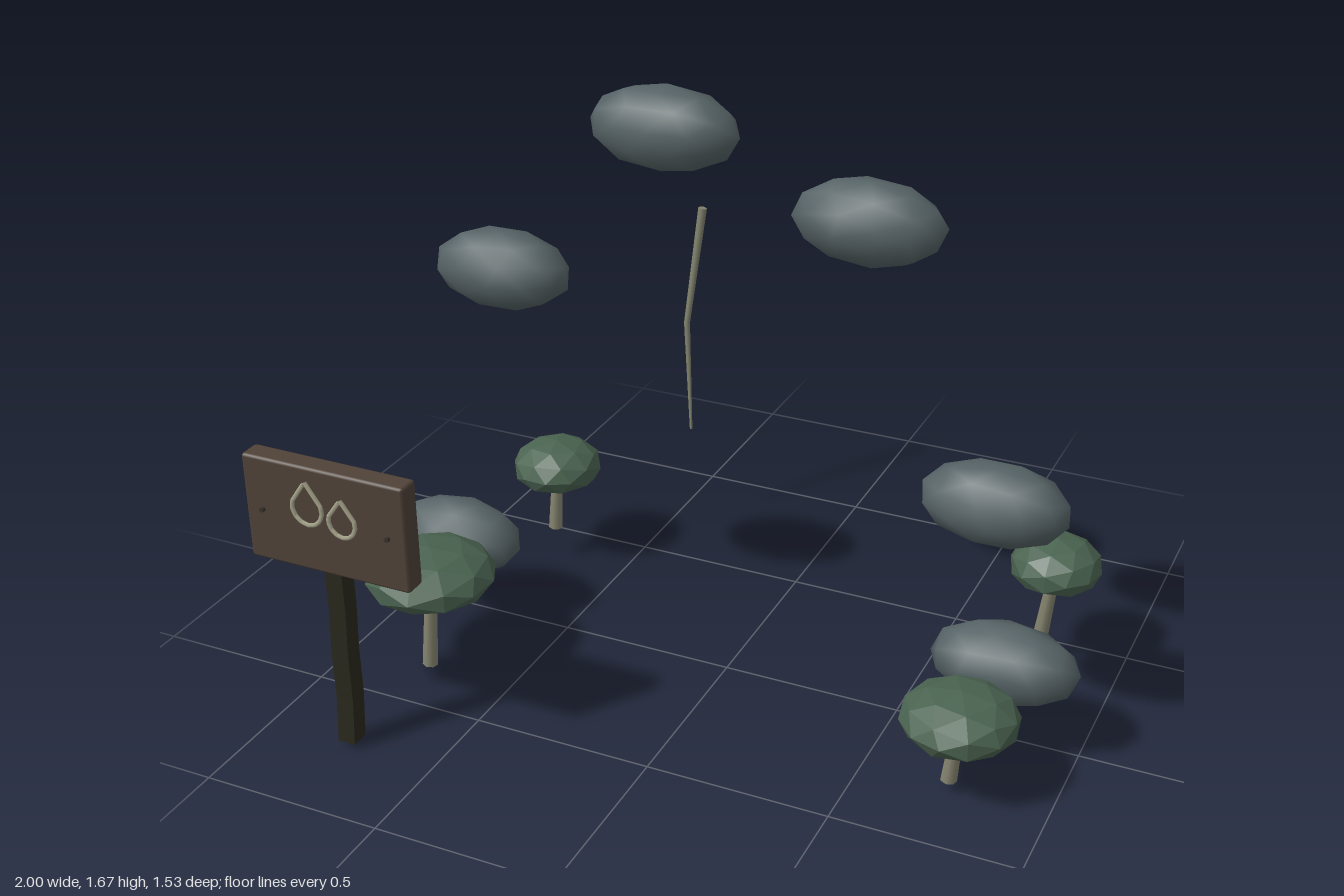
import * as THREE from 'three';
import { RoundedBoxGeometry } from 'three/addons/geometries/RoundedBoxGeometry.js';

const mat = (name, color) => {
  const m = new THREE.MeshStandardMaterial({ color });
  m.name = name;
  return m;
};

export function createModel() {
  const root = new THREE.Group();
  const stone = mat('slate stone', 0x566366);
  const capGreen = mat('cap green', 0x4a6350);
  const gill = mat('gill grey', 0x55554a);
  const stemTan = mat('stem tan', 0x85846f);
  const reed = mat('reed grey', 0x82846f);
  const board = mat('board brown', 0x4f4238);
  const postDark = mat('post dark', 0x29281c);
  const pale = mat('pale symbol', 0xa5a28a);
  const nailDark = mat('nail dark', 0x38302a);

  const add = (parent, name, geo, material, pos = [0, 0, 0]) => {
    const m = new THREE.Mesh(geo, material);
    m.name = name;
    m.position.set(...pos);
    parent.add(m);
    return m;
  };

  // Tapered round piece running between two points
  const limb = (parent, name, a, b, ra, rb, material, sides = 7) => {
    const p = new THREE.Vector3(...a), q = new THREE.Vector3(...b);
    const dir = q.clone().sub(p);
    const m = add(parent, name, new THREE.CylinderGeometry(rb, ra, dir.length(), sides), material);
    m.position.copy(p).add(q).multiplyScalar(0.5);
    m.quaternion.setFromUnitVectors(new THREE.Vector3(0, 1, 0), dir.normalize());
  };

  // Floating stones in an arch: x, y, half length, spin
  const stones = new THREE.Group();
  stones.name = 'stoneArch';
  root.add(stones);
  [
    [-0.81, 0.265, 0.192, 0.25], [-0.622, 1.112, 0.197, 0.3], [-0.145, 1.563, 0.203, 0],
    [0.395, 1.402, 0.197, 0.5], [0.748, 0.717, 0.197, 0.3], [0.8, 0.265, 0.2, 0.1],
  ].forEach(([x, y, half, spin], i) => {
    const geo = new THREE.IcosahedronGeometry(1, 1);
    geo.rotateX(i * 0.7).rotateZ(spin).scale(half, 0.108, 0.112);
    add(stones, 'archStone', geo, stone, [x, y, 0.05]);
  });

  // Faceted cap: squashed ball with a flat underside
  const capGeometry = (r, h, spin) => {
    const geo = new THREE.IcosahedronGeometry(1, 1);
    const p = geo.attributes.position, floor = -0.46;
    for (let i = 0; i < p.count; i++) p.setY(i, Math.max(p.getY(i), floor));
    for (let i = 0; i < p.count; i += 3) {
      const under = [0, 1, 2].every(k => p.getY(i + k) < floor + 0.001);
      geo.addGroup(i, 3, under ? 1 : 0);
    }
    geo.rotateY(spin).scale(r, h, r);
    geo.computeVertexNormals();
    return geo;
  };

  // Mushrooms: cap centre, cap radius, stem foot, stem radius
  [
    { cap: [-0.74, 0.296, 0.315], r: 0.18, foot: [-0.76, 0.003, 0.32], s: 0.022 },
    { cap: [0.757, 0.226, 0.275], r: 0.154, foot: [0.738, 0.037, 0.28], s: 0.022 },
    { cap: [-0.71, 0.315, -0.35], r: 0.132, foot: [-0.72, 0.105, -0.342], s: 0.021 },
    { cap: [0.805, 0.315, -0.395], r: 0.127, foot: [0.775, 0.067, -0.392], s: 0.022 },
  ].forEach(({ cap, r, foot, s }, i) => {
    const g = new THREE.Group();
    g.name = 'mushroom';
    root.add(g);
    add(g, 'mushroomCap', capGeometry(r, 0.082, i * 0.8 + 0.2), [capGreen, gill], cap);
    limb(g, 'mushroomStem', foot, cap, s, s * 0.72, stemTan);
  });

  // Signpost
  const sign = new THREE.Group();
  sign.name = 'signpost';
  root.add(sign);
  add(sign, 'signBoard', new RoundedBoxGeometry(0.467, 0.292, 0.062, 1, 0.008), board, [-0.748, 0.675, 0.719]);

  // Slightly crooked post
  let post = new THREE.BoxGeometry(0.05, 0.54, 0.05, 1, 4, 1).toNonIndexed();
  const pp = post.attributes.position;
  for (let i = 0; i < pp.count; i++) {
    const t = pp.getY(i) / 0.54 + 0.5;
    pp.setX(i, pp.getX(i) + 0.008 * t + 0.003 * Math.sin(t * 9));
    pp.setZ(i, pp.getZ(i) - 0.006 * Math.sin(t * Math.PI));
  }
  post.computeVertexNormals();
  add(sign, 'signPole', post, postDark, [-0.752, 0.285, 0.719]);

  // Raised teardrop outlines
  [[-0.792, 0.708, 0.044, 0.075], [-0.692, 0.69, 0.039, 0.064]].forEach(([x, y, w, tip]) => {
    const pts = [new THREE.Vector3(0, tip, 0)];
    for (let i = 0; i <= 8; i++) {
      const a = 0.35 - i * (Math.PI + 0.7) / 8;
      pts.push(new THREE.Vector3(Math.cos(a) * w, Math.sin(a) * w, 0));
    }
    const path = new THREE.CurvePath();
    pts.forEach((p, i) => path.add(new THREE.LineCurve3(p, pts[(i + 1) % pts.length])));
    add(sign, 'dropOutline', new THREE.TubeGeometry(path, 40, 0.006, 5, true), pale, [x, y, 0.757]);
  });

  // Nails
  for (const x of [-0.93, -0.565]) {
    const nail = new THREE.CylinderGeometry(0.007, 0.007, 0.012, 6).rotateX(Math.PI / 2);
    add(sign, 'nail', nail, nailDark, [x, 0.675, 0.753]);
  }

  // Bent reed
  const stick = new THREE.Group();
  stick.name = 'bentReed';
  root.add(stick);
  const elbow = [-0.458, 0.67, -0.727];
  limb(stick, 'reedLower', [-0.437, 0.327, -0.705], elbow, 0.004, 0.009, reed, 6);
  limb(stick, 'reedUpper', elbow, [-0.418, 1.033, -0.757], 0.009, 0.013, reed, 6);

  return root;
}
